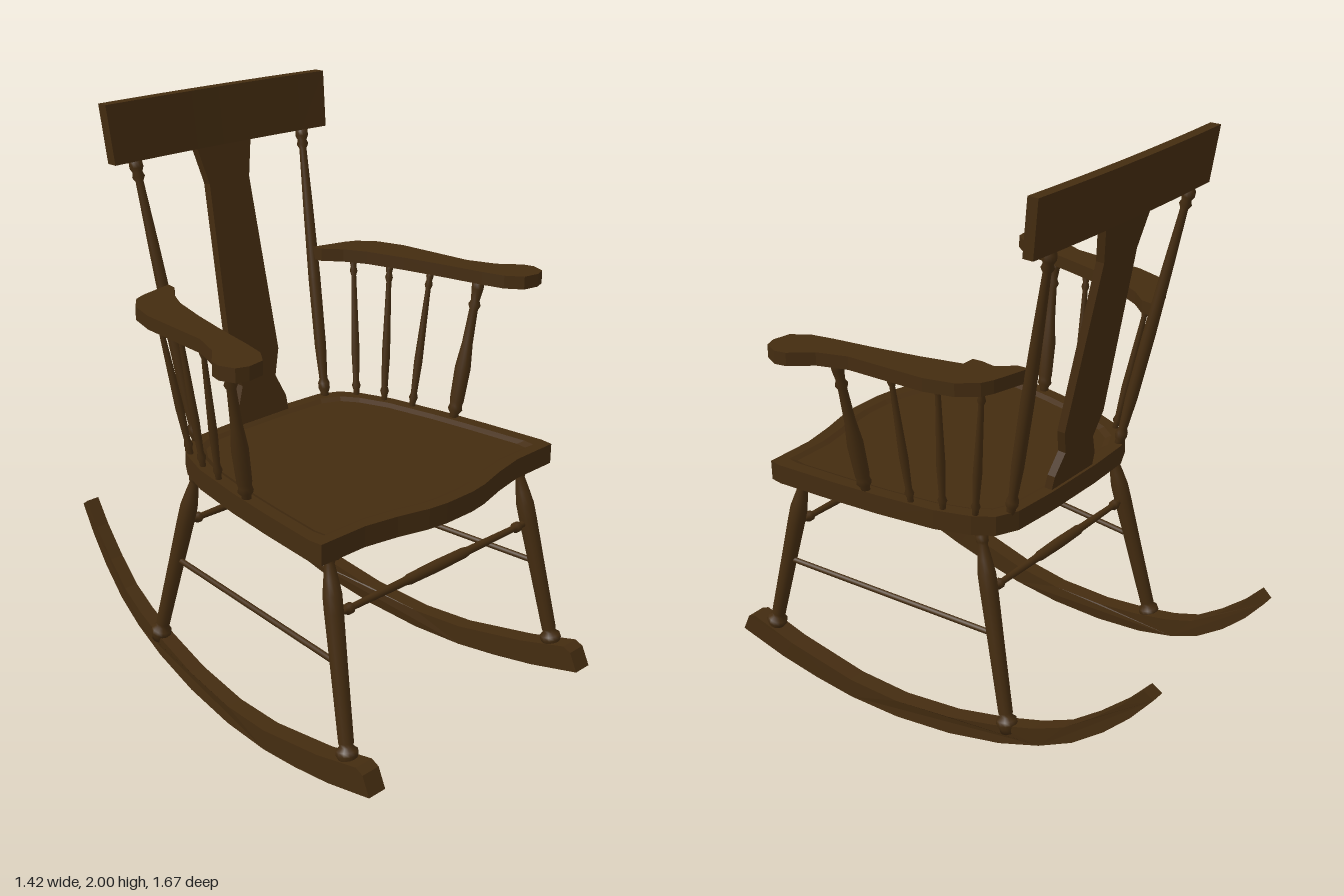
import * as THREE from 'three';

const wood = new THREE.MeshStandardMaterial({ color: 0x442c10 });
wood.name = 'dark wood';

// Profiles of the turned parts: [fraction of length, radius]
const LEG = [[0, 0.026], [0.025, 0.03], [0.045, 0.037], [0.065, 0.035], [0.08, 0.022], [0.1, 0.025], [0.45, 0.028],
  [0.7, 0.031], [0.78, 0.031], [0.85, 0.024], [0.92, 0.016], [0.935, 0.021], [0.96, 0.022], [0.975, 0.016], [1, 0.018]];
const POST = [[0, 0.015], [0.03, 0.015], [0.045, 0.021], [0.065, 0.021], [0.08, 0.015], [0.2, 0.021], [0.45, 0.022], [0.7, 0.018],
  [0.91, 0.013], [0.925, 0.021], [0.94, 0.016], [0.955, 0.023], [0.975, 0.022], [0.985, 0.014], [1, 0.014]];
const ARM_POST = [[0, 0.015], [0.06, 0.016], [0.09, 0.026], [0.12, 0.022], [0.15, 0.025], [0.38, 0.028], [0.55, 0.019],
  [0.78, 0.015], [0.81, 0.022], [0.84, 0.015], [0.92, 0.021], [0.95, 0.021], [1, 0.014]];
const SPINDLE = [[0, 0.01], [0.07, 0.011], [0.1, 0.016], [0.13, 0.011], [0.35, 0.015], [0.6, 0.012],
  [0.86, 0.009], [0.89, 0.014], [0.92, 0.01], [0.95, 0.013], [1, 0.009]];
const STRETCHER = [[0, 0.011], [0.05, 0.011], [0.06, 0.018], [0.08, 0.018], [0.09, 0.011], [0.34, 0.014], [0.36, 0.018],
  [0.5, 0.02], [0.64, 0.018], [0.66, 0.014], [0.91, 0.011], [0.92, 0.018], [0.94, 0.018], [0.95, 0.011], [1, 0.011]];
const ROD = [[0, 0.01], [1, 0.01]];

function mesh(name, geometry) {
  const m = new THREE.Mesh(geometry, wood);
  m.name = name;
  return m;
}

// Lathe-turned part running between two points
function turned(name, from, to, profile, sides = 12) {
  const a = new THREE.Vector3(...from), dir = new THREE.Vector3(...to).sub(a);
  const length = dir.length();
  const pts = profile.map(([t, r]) => new THREE.Vector2(r, t * length));
  pts.unshift(new THREE.Vector2(0, 0));
  pts.push(new THREE.Vector2(0, length));
  const m = mesh(name, new THREE.LatheGeometry(pts, sides));
  m.position.copy(a);
  m.quaternion.setFromUnitVectors(new THREE.Vector3(0, 1, 0), dir.normalize());
  return m;
}

function slab(points, depth) {
  const shape = new THREE.Shape(points.map(([x, y]) => new THREE.Vector2(x, y)));
  return new THREE.ExtrudeGeometry(shape, { depth, bevelEnabled: false });
}

// Move every vertex by a rule and refresh the normals
function reshape(geometry, rule) {
  const g = geometry.index ? geometry.toNonIndexed() : geometry;
  const p = g.attributes.position, v = new THREE.Vector3();
  for (let i = 0; i < p.count; i++) {
    rule(v.fromBufferAttribute(p, i));
    p.setXYZ(i, v.x, v.y, v.z);
  }
  g.computeVertexNormals();
  return g;
}

// Seat: one outline repeated at several scales and heights, with a shallow dish on top
function seatGeometry() {
  const half = [[0.06, 0.69], [0.13, 0.68], [0.24, 0.65], [0.36, 0.627], [0.54, 0.625], [0.545, 0.58], [0.52, 0.36],
    [0.495, 0.18], [0.455, -0.03], [0.41, -0.15], [0.365, -0.215], [0.29, -0.25], [0.12, -0.26]];
  const outline = [...half, ...half.slice().reverse().map(([x, z]) => [-x, z])];
  const rings = [[0, 0.8], [1, 0.8], [1, 0.87], [0.91, 0.87], [0.87, 0.86], [0, 0.858]];
  const n = outline.length, pos = [];
  const at = (r, i) => {
    const [s, y] = rings[r], [x, z] = outline[i % n];
    return [x * s, y, 0.2 + (z - 0.2) * s];
  };
  for (let r = 0; r < rings.length - 1; r++) {
    for (let i = 0; i < n; i++) {
      const a = at(r, i), b = at(r, i + 1), c = at(r + 1, i + 1), d = at(r + 1, i);
      if (rings[r][0] > 0) pos.push(...a, ...b, ...(rings[r + 1][0] > 0 ? c : d));
      if (rings[r + 1][0] > 0) pos.push(...a, ...c, ...d);
    }
  }
  const g = new THREE.BufferGeometry();
  g.setAttribute('position', new THREE.Float32BufferAttribute(pos, 3));
  g.computeVertexNormals();
  return g;
}

// Rocker: side profile (z, y) extruded, then bent inward toward the back
function rockerGeometry(side) {
  const profile = [[0.84, 0.1], [0.65, 0.052], [0.49, 0.024], [0.33, 0.004], [0.13, 0], [-0.09, 0.02], [-0.29, 0.06],
    [-0.44, 0.11], [-0.56, 0.17], [-0.67, 0.255], [-0.76, 0.345], [-0.835, 0.44], [-0.8, 0.465], [-0.73, 0.385],
    [-0.63, 0.295], [-0.53, 0.22], [-0.42, 0.172], [-0.28, 0.13], [-0.09, 0.088], [0.13, 0.067], [0.33, 0.077],
    [0.6, 0.128], [0.78, 0.178], [0.81, 0.165]];
  const g = slab(profile, 0.07).rotateY(-Math.PI / 2).translate(0.035, 0, 0);
  return reshape(g, (v) => {
    const t = (0.84 - v.z) / 1.68;
    v.x = v.x * (1 - 0.3 * t) + side * (0.51 - 0.06 * t - 0.11 * t * t);
  });
}

// Flat armrest with a rounded, outturned hand end
function armGeometry(side) {
  const outline = [[0.33, -0.32], [0.46, -0.288], [0.5, -0.27], [0.55, -0.21], [0.58, -0.11], [0.592, 0.04], [0.602, 0.17],
    [0.64, 0.27], [0.7, 0.34], [0.71, 0.38], [0.69, 0.43], [0.65, 0.445], [0.59, 0.435], [0.55, 0.38], [0.53, 0.3],
    [0.5, 0.15], [0.465, 0], [0.425, -0.14], [0.385, -0.22], [0.335, -0.28]];
  return slab(outline.map(([x, z]) => [side * x, -z]), 0.045).rotateX(-Math.PI / 2).translate(0, 1.36, 0);
}

export function createModel() {
  const chair = new THREE.Group();
  chair.name = 'rockingChair';
  chair.add(mesh('seat', seatGeometry()));

  // Back splat, leaning with the posts
  const right = [[0.115, 0.86], [0.112, 0.92], [0.077, 1.0], [0.108, 1.09], [0.088, 1.69], [0.12, 1.82]];
  const splat = slab([...right, ...right.slice().reverse().map(([x, y]) => [-x, y])], 0.03);
  chair.add(mesh('backSplat', reshape(splat, (v) => { v.z += -0.25 - (v.y - 0.87) * 0.2; })));

  // Top rail: flared, leaning and gently bowed
  const rail = new THREE.BoxGeometry(0.94, 0.19, 0.038, 8, 1, 1);
  chair.add(mesh('topRail', reshape(rail, (v) => {
    v.z += -0.433 - v.y * 0.13 - 0.012 * (1 - (v.x / 0.47) ** 2) + 0.006;
    v.x *= 1 + v.y * 0.11;
    v.y += 1.905;
  })));

  // Cross stretchers between the legs
  chair.add(turned('frontStretcher', [-0.467, 0.597, 0.604], [0.467, 0.597, 0.604], STRETCHER));
  chair.add(turned('backStretcher', [-0.385, 0.597, -0.2], [0.385, 0.597, -0.2], STRETCHER));

  // Paired parts
  for (const s of [1, -1]) {
    const side = s > 0 ? 'left' : 'right';
    chair.add(
      mesh(side + 'Rocker', rockerGeometry(s)),
      mesh(side + 'Arm', armGeometry(s)),
      turned(side + 'FrontLeg', [s * 0.505, 0.14, 0.71], [s * 0.447, 0.81, 0.557], LEG),
      turned(side + 'BackLeg', [s * 0.43, 0.11, -0.315], [s * 0.365, 0.81, -0.152], LEG),
      turned(side + 'SideStretcher', [s * 0.48, 0.45, 0.637], [s * 0.4, 0.45, -0.235], ROD, 8),
      turned(side + 'BackPost', [s * 0.303, 0.85, -0.225], [s * 0.37, 1.83, -0.425], POST),
      turned(side + 'ArmPost', [s * 0.483, 0.85, 0.235], [s * 0.572, 1.37, 0.255], ARM_POST),
    );
    const spindles = [[0.453, 0.065, 0.52, 0.077], [0.425, -0.045, 0.482, -0.085], [0.39, -0.15, 0.45, -0.235]];
    for (const [x0, z0, x1, z1] of spindles) {
      chair.add(turned(side + 'ArmSpindle', [s * x0, 0.85, z0], [s * x1, 1.37, z1], SPINDLE, 10));
    }
  }
  return chair;
}
